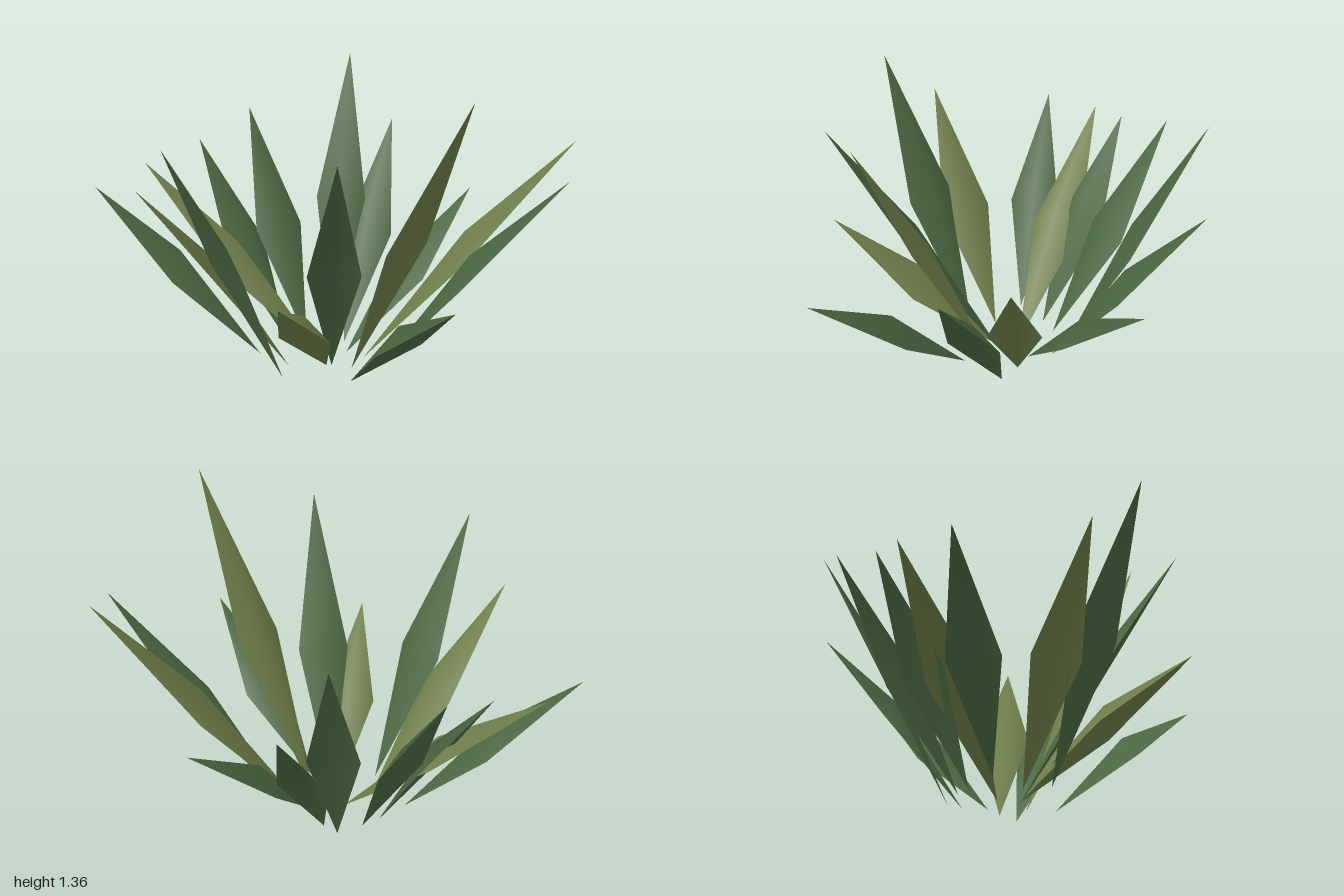
import * as THREE from 'three';

const GREEN = 0x4a6741;
const OLIVE = 0x6f7d49;
const HALF_WIDTH = 0.11; // half the width of a leaf at its widest
const WAIST = 0.485;     // how far along the leaf it is widest
const RIDGE = 0.11;      // height of the ridge above the leaf's edges

// Leaves around the rosette: [base x, base z], [tip x, y, z], colour
const LEAVES = [
  [[0.13, -0.06], [0.93, 1.02, -0.39], OLIVE],
  [[0.23, -0.03], [0.995, 0.935, -0.13], GREEN],
  [[0.13, 0.06], [0.765, 1.355, 0.33], OLIVE],
  [[0.18, 0.17], [0.805, 0.60, 0.555], GREEN],
  [[0.04, 0.07], [0.375, 1.155, 0.68], GREEN],
  [[0.02, 0.08], [0.18, 0.58, 0.79], OLIVE],
  [[-0.09, 0.27], [-0.325, 1.14, 0.78], GREEN],
  [[-0.12, 0.16], [-0.54, 0.895, 0.65], OLIVE],
  [[-0.29, 0.11], [-1.0, 0.715, 0.28], GREEN],
  [[-0.04, 0.01], [-0.92, 0.755, 0.01], OLIVE],
  [[-0.22, -0.03], [-0.75, 0.835, -0.18], GREEN],
  [[-0.17, -0.10], [-0.635, 0.93, -0.43], GREEN],
  [[-0.09, -0.19], [-0.27, 1.16, -0.725], GREEN],
  [[-0.015, -0.16], [-0.09, 0.85, -0.80], GREEN],
  [[0.04, -0.07], [0.345, 0.615, -0.705], GREEN],
];

// A diamond leaf raised to a ridge in the middle
function leafGeometry([bx, bz], tip) {
  const base = new THREE.Vector3(bx, 0, bz);
  const end = new THREE.Vector3(...tip);
  const centre = base.clone().lerp(end, WAIST);
  const side = new THREE.Vector3(bz - end.z, 0, end.x - bx).setLength(HALF_WIDTH);
  const ridge = centre.clone();
  ridge.y += RIDGE;
  const points = [base, centre.clone().add(side), end, centre.clone().sub(side), ridge];
  const geometry = new THREE.BufferGeometry().setFromPoints(points);
  geometry.setIndex([0, 1, 4, 1, 2, 4, 2, 3, 4, 3, 0, 4]);
  geometry.computeVertexNormals();
  return geometry;
}

export function createModel() {
  const plant = new THREE.Group();
  plant.name = 'spikyPlant';
  const materials = {};
  for (const color of [GREEN, OLIVE]) {
    materials[color] = new THREE.MeshStandardMaterial({ color, side: THREE.DoubleSide });
  }
  LEAVES.forEach(([base, tip, color], i) => {
    const leaf = new THREE.Mesh(leafGeometry(base, tip), materials[color]);
    leaf.name = `leaf${i + 1}`;
    plant.add(leaf);
  });
  return plant;
}
